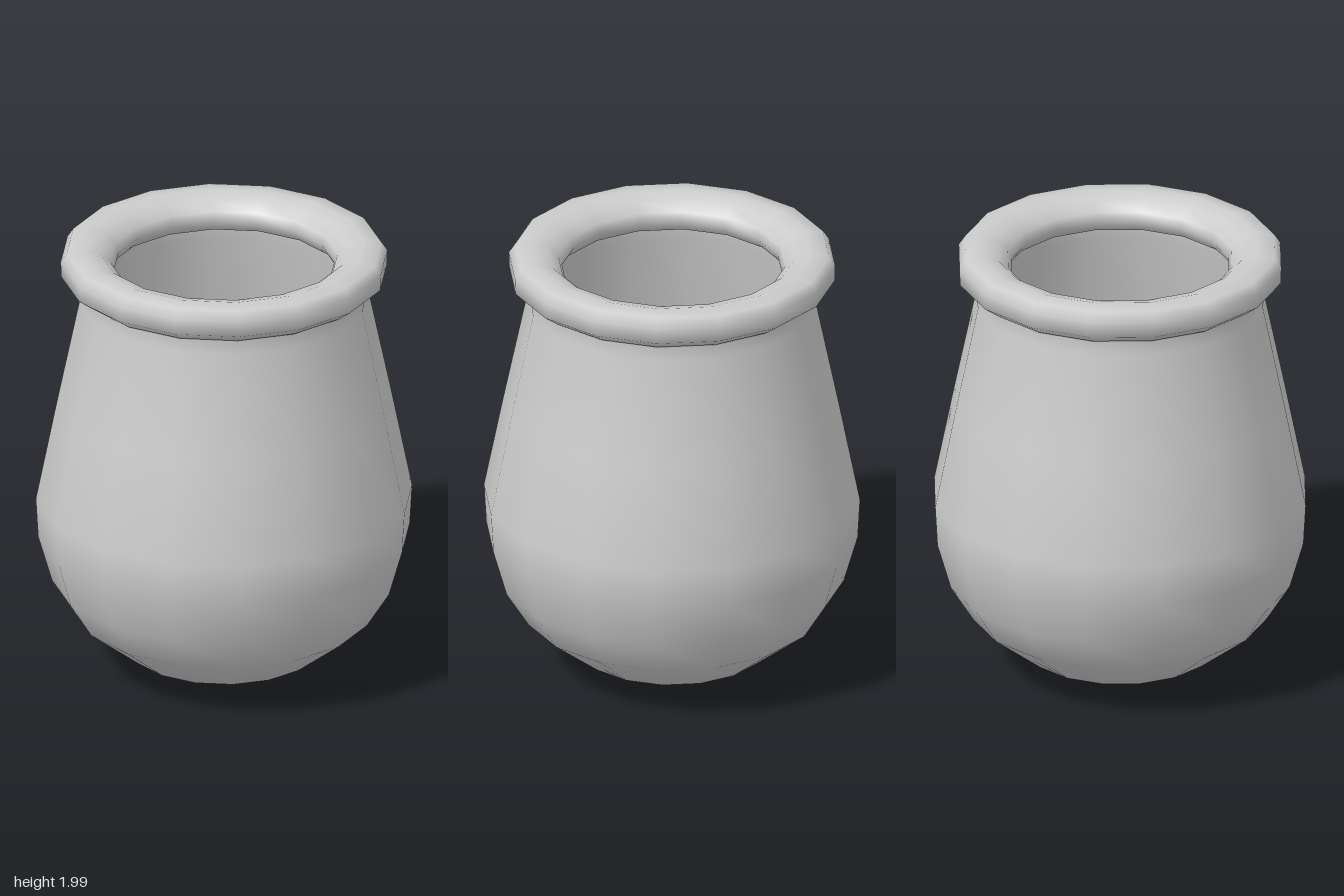
import * as THREE from 'three';

const SIDES = 16;

// Revolve a list of [radius, height] points into a named smooth mesh
function turned(name, points) {
  const profile = points.map(([r, y]) => new THREE.Vector2(r, y));
  const mesh = new THREE.Mesh(
    new THREE.LatheGeometry(profile, SIDES),
    new THREE.MeshStandardMaterial({ color: 0xcccccc })
  );
  mesh.name = name;
  return mesh;
}

export function createModel() {
  const pot = new THREE.Group();
  pot.name = 'pot';

  // Rounded bowl below, straight tapering wall up to the neck
  const outer = [
    [0, 0.01], [0.15, 0.03], [0.42, 0.1], [0.65, 0.28], [0.75, 0.44],
    [0.81, 0.65], [0.82, 0.83], [0.73, 1.28], [0.63, 1.76], [0.64, 1.85],
  ];
  pot.add(turned('outerWall', outer));

  // Thin-walled hollow, listed from the neck down so it faces inward
  const inner = [
    [0.6, 1.86], [0.605, 1.76], [0.705, 1.28], [0.795, 0.84], [0.78, 0.65],
    [0.72, 0.46], [0.62, 0.31], [0.4, 0.14], [0.15, 0.07], [0, 0.05],
  ];
  pot.add(turned('innerWall', inner));

  // Fat rolled lip around the mouth
  const lip = [
    [0.6, 1.83], [0.65, 1.835], [0.71, 1.88], [0.712, 1.95], [0.685, 1.99],
    [0.61, 2], [0.54, 1.98], [0.495, 1.94], [0.48, 1.9], [0.51, 1.85], [0.6, 1.83],
  ];
  pot.add(turned('rim', lip));

  return pot;
}
